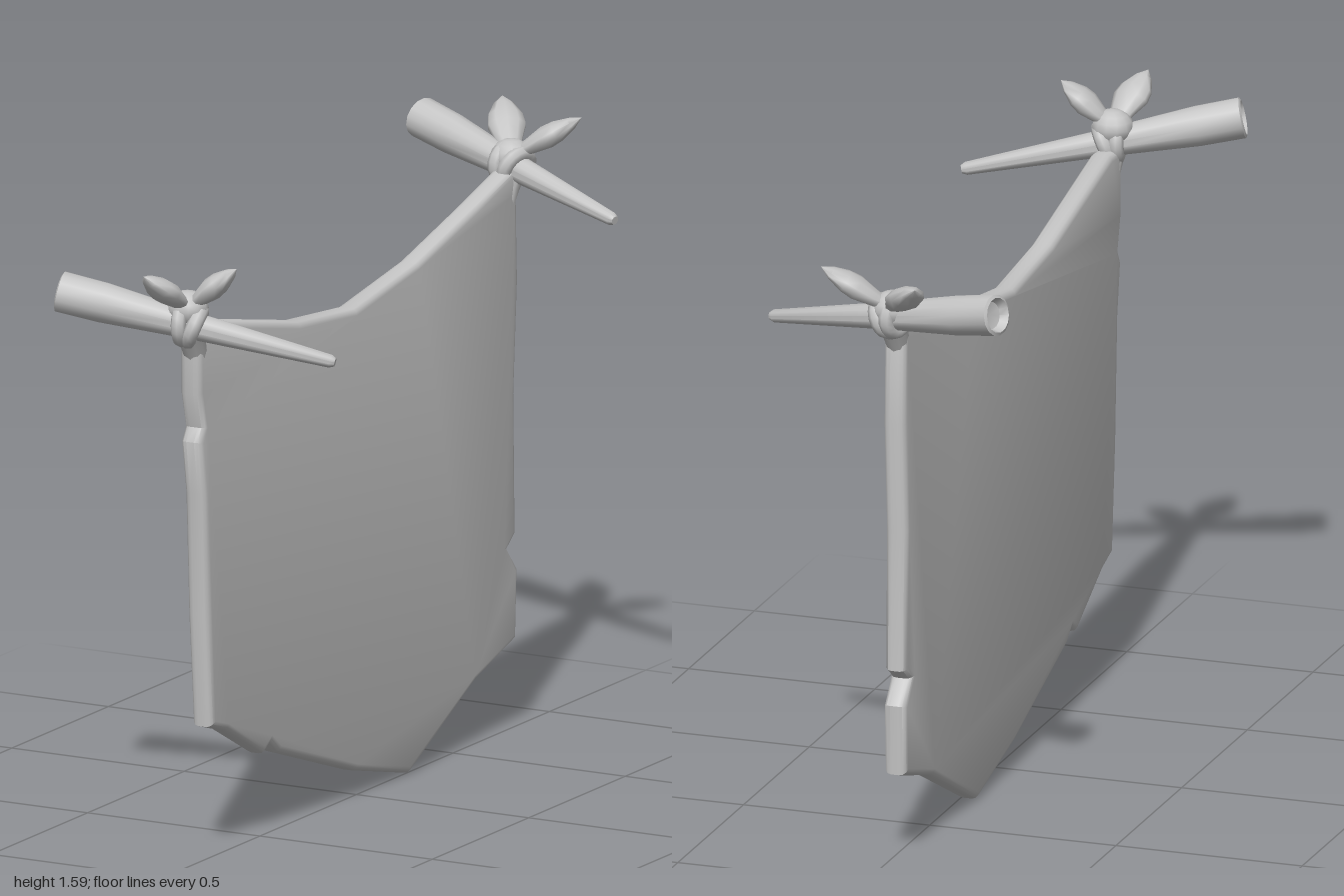
import * as THREE from 'three';
import { toCreasedNormals } from 'three/addons/utils/BufferGeometryUtils.js';

const V = (x, y, z) => new THREE.Vector3(x, y, z);
const grey = new THREE.MeshStandardMaterial({ color: 0xc4c4c4 });
grey.name = 'plain grey';

function add(group, name, geometry) {
  const mesh = new THREE.Mesh(geometry, grey);
  mesh.name = name;
  group.add(mesh);
  return mesh;
}

// Stand a +y geometry on point a, pointing to b, its x axis kept level
function aim(mesh, a, b) {
  const up = b.clone().sub(a).normalize();
  const side = V(-up.z, 0, up.x).normalize();
  const out = side.clone().cross(up);
  mesh.quaternion.setFromRotationMatrix(new THREE.Matrix4().makeBasis(side, up, out));
  mesh.position.copy(a);
  return mesh;
}

function lathe(points, segments, crease) {
  const g = new THREE.LatheGeometry(points.map(([r, y]) => new THREE.Vector2(r, y)), segments);
  return toCreasedNormals(g, crease);
}

// Worn cloth outline as [z, y], with notches in three edges
function cloth() {
  const outline = [
    [0.837, 1.40], [0.757, 1.405], [0.31, 1.305], [0.02, 1.277], [-0.30, 1.327],
    [-0.61, 1.41], [-0.80, 1.465], [-0.815, 1.40], [-0.822, 1.17], [-0.803, 0.88],
    [-0.81, 0.51], [-0.77, 0.48], [-0.82, 0.42], [-0.812, 0.235], [-0.60, 0.17],
    [-0.26, 0.003], [0.02, 0.07], [0.42, 0.205], [0.46, 0.237], [0.495, 0.217],
    [0.69, 0.32], [0.77, 0.345], [0.795, 0.64], [0.81, 0.96], [0.832, 1.10],
    [0.812, 1.135], [0.835, 1.225],
  ];
  const shape = new THREE.Shape(outline.map(([z, y]) => new THREE.Vector2(-z, y)));
  const g = new THREE.ExtrudeGeometry(shape, {
    depth: 0.022, bevelEnabled: true, bevelThickness: 0.019,
    bevelSize: 0.018, bevelOffset: -0.018, bevelSegments: 3,
  });
  g.rotateY(Math.PI / 2).translate(-0.028, 0, 0);
  return toCreasedNormals(g, 0.7);
}

// Tapered stick with a hollow cut end and a rounded tip
function stick(length) {
  return lathe([
    [0, 0.03], [0.035, 0.022], [0.045, 0], [0.053, 0.004], [0.052, 0.12],
    [0.036, length * 0.48], [0.017, length - 0.012], [0.011, length], [0, length],
  ], 14, 0.8);
}

// Pointed, flattened tail of the knotted cloth
function tail(length) {
  const profile = [[0, 0], [0.022, 0.02], [0.034, 0.25], [0.05, 0.5], [0.046, 0.66], [0.026, 0.86], [0, 1]];
  const g = lathe(profile.map(([r, t]) => [r, t * length]), 10, 1.1);
  return g.scale(1, 1, 0.6);
}

// Stick, wrapped knot, two tails and the gathered cloth corner
function tie(name, thick, thin, knot, tips) {
  const group = new THREE.Group();
  group.name = name;
  aim(add(group, 'stick', stick(thick.distanceTo(thin))), thick, thin);

  const direction = thin.clone().sub(thick).normalize();
  const onStick = thick.clone().lerp(thin, 0.47);
  for (const s of [-1, 1]) {
    const loop = add(group, 'knotLoop', new THREE.TorusGeometry(0.042, 0.02, 8, 18));
    loop.position.copy(onStick).addScaledVector(direction, s * 0.016);
    loop.quaternion.setFromUnitVectors(V(0, 0, 1), direction);
    loop.rotateX(s * 0.2);
  }
  const core = add(group, 'knotCore', new THREE.SphereGeometry(0.052, 12, 8));
  core.position.copy(knot);
  core.scale.set(1.05, 0.9, 1);

  for (const tip of tips) {
    aim(add(group, 'knotTail', tail(knot.distanceTo(tip))), knot, tip);
  }

  const low = V(-0.018, onStick.y - 0.13, onStick.z - Math.sign(onStick.z) * 0.06);
  const length = low.distanceTo(onStick);
  aim(add(group, 'gatheredCorner', lathe([[0, 0], [0.027, 0.01], [0.034, length * 0.6], [0.044, length]], 10, 1)), low, onStick);
  return group;
}

export function createModel() {
  const model = new THREE.Group();
  model.name = 'hangingCloth';
  add(model, 'cloth', cloth());
  model.add(
    tie('frontTie', V(-0.335, 1.48, 0.943), V(0.35, 1.332, 0.735), V(-0.018, 1.452, 0.842),
      [V(-0.06, 1.562, 0.995), V(0.115, 1.567, 0.825)]),
    tie('backTie', V(-0.335, 1.53, -0.93), V(0.35, 1.388, -0.715), V(-0.018, 1.485, -0.835),
      [V(-0.135, 1.595, -0.997), V(0.155, 1.595, -0.89)]),
  );
  return model;
}
